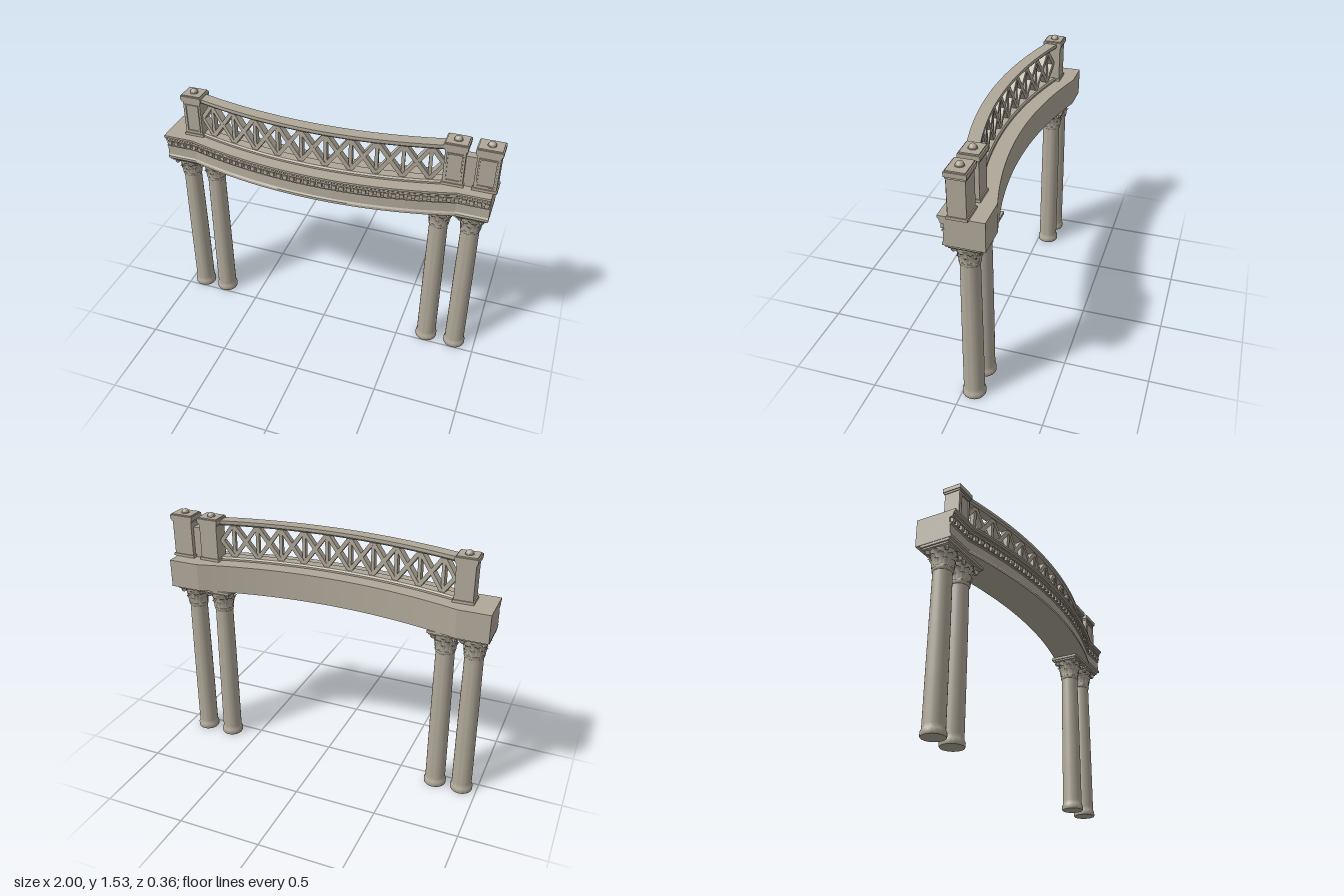
import * as THREE from 'three';
import { toCreasedNormals, mergeGeometries } from 'three/addons/utils/BufferGeometryUtils.js';

const stone = new THREE.MeshStandardMaterial({ color: 0xb0a899, side: THREE.DoubleSide });

// Plan curve: a shallow bow that runs straight at both ends
const XC = -0.015, HALF = 0.8, R = 2.78;
const along = (x) => THREE.MathUtils.clamp(x - XC, -HALF, HALF);
const bow = (x) => -(along(x) ** 2) / (2 * R);
const turn = (x) => (Math.abs(x - XC) > HALF ? 0 : Math.atan((x - XC) / R));

function add(parent, name, geometry, x = 0, y = 0, z = 0) {
  const mesh = new THREE.Mesh(geometry, stone);
  mesh.name = name;
  mesh.position.set(x, y, z);
  parent.add(mesh);
  return mesh;
}

const box = (w, h, d) => new THREE.BoxGeometry(w, h, d);

// Sweep a counter-clockwise [z, y] outline along the plan curve
function sweep(outline, xs) {
  const pos = [];
  const n = outline.length;
  const put = (i, x) => pos.push(x, outline[i % n][1], outline[i % n][0] + bow(x));
  for (let s = 0; s < xs.length - 1; s++) {
    const a = xs[s], b = xs[s + 1];
    for (let i = 0; i < n; i++) {
      put(i, a); put(i + 1, b); put(i + 1, a);
      put(i, a); put(i, b); put(i + 1, b);
    }
  }
  const faces = THREE.ShapeUtils.triangulateShape(outline.map((p) => new THREE.Vector2(...p)), []);
  for (const [i, j, k] of faces) {
    const a = xs[0], b = xs[xs.length - 1];
    put(i, a); put(j, a); put(k, a);
    put(i, b); put(k, b); put(j, b);
  }
  const g = new THREE.BufferGeometry();
  g.setAttribute('position', new THREE.Float32BufferAttribute(pos, 3));
  return toCreasedNormals(g, 0.2);
}

const steps = (a, b, n) => Array.from({ length: n + 1 }, (_, i) => a + ((b - a) * i) / n);

// Place a geometry on the plan curve, tilted in the plane of the railing
function onCurve(geometry, x, y, z, tilt = 0) {
  return geometry.rotateZ(tilt).rotateY(turn(x)).translate(x, y, z + bow(x));
}

// Curved leaf with a raised rib, scalloped edge and curling tip
function leaf(angle, y0, h, r0, r1, width) {
  const g = new THREE.PlaneGeometry(1, 1, 4, 8);
  const p = g.attributes.position;
  for (let i = 0; i < p.count; i++) {
    const u = p.getX(i), v = p.getY(i) + 0.5;
    const w = width * Math.sqrt(Math.max(0, 1 - v ** 3)) * (1 + 0.14 * Math.cos(v * 18)) + 0.003;
    const r = r0 + (r1 - r0) * v * v + 0.007 * (1 - Math.abs(2 * u));
    const y = y0 + h * (v * 1.2 - 0.3 * v ** 5);
    const t = angle + (u * w) / r;
    p.setXYZ(i, Math.sin(t) * r, y, Math.cos(t) * r);
  }
  g.computeVertexNormals();
  return g;
}

function createColumn(x) {
  const column = new THREE.Group();
  column.name = 'column';
  column.position.set(x, 0, -0.064);
  // Base moulding, tapering shaft and bell in one turned profile
  const profile = [
    [0, 0], [0.065, 0], [0.067, 0.004], [0.067, 0.026], [0.063, 0.034], [0.0605, 0.04], [0.06, 0.06],
    [0.059, 0.3], [0.057, 0.6], [0.054, 0.915], [0.058, 0.92], [0.06, 0.927], [0.058, 0.934],
    [0.053, 0.938], [0.055, 0.97], [0.06, 1.0], [0.072, 1.03], [0.074, 1.042], [0, 1.042],
  ].map((p) => new THREE.Vector2(...p));
  add(column, 'shaft', toCreasedNormals(new THREE.LatheGeometry(profile, 40), 0.6));
  // Two tiers of leaves and a third tier of slim stalks
  const leaves = [];
  for (let i = 0; i < 8; i++) {
    const a = (i * Math.PI) / 4;
    leaves.push(leaf(a, 0.936, 0.048, 0.055, 0.07, 0.04));
    leaves.push(leaf(a + Math.PI / 8, 0.945, 0.07, 0.055, 0.08, 0.044));
    leaves.push(leaf(a, 0.975, 0.06, 0.058, 0.085, 0.034));
  }
  add(column, 'capitalLeaves', mergeGeometries(leaves));
  // Corner scrolls
  for (let i = 0; i < 4; i++) {
    const a = Math.PI / 4 + (i * Math.PI) / 2;
    const scroll = new THREE.CylinderGeometry(0.014, 0.014, 0.016, 14).rotateX(Math.PI / 2);
    const m = add(column, 'scroll', scroll, Math.sin(a) * 0.088, 1.027, Math.cos(a) * 0.088);
    m.rotation.y = a + Math.PI / 2;
  }
  add(column, 'lowerAbacus', box(0.166, 0.012, 0.166), 0, 1.046, 0);
  add(column, 'abacus', box(0.183, 0.016, 0.183), 0, 1.058, 0);
  return column;
}

function createPost(x, w) {
  const post = new THREE.Group();
  post.name = 'post';
  post.position.set(x, 0, -0.048);
  const d = 0.098;
  add(post, 'body', box(w - 0.02, 0.23, d), 0, 1.35, 0);
  add(post, 'plinth', box(w - 0.006, 0.016, d + 0.012), 0, 1.243, 0);
  add(post, 'capNeck', box(w - 0.01, 0.012, d + 0.01), 0, 1.464, 0);
  add(post, 'cap', box(w, 0.026, 0.117), 0, 1.482, 0);
  add(post, 'capTop', box(w - 0.014, 0.008, 0.103), 0, 1.498, 0);
  add(post, 'knobCollar', new THREE.CylinderGeometry(0.025, 0.025, 0.006, 24), 0, 1.503, 0);
  add(post, 'knob', new THREE.SphereGeometry(0.022, 24, 12), 0, 1.504, 0);
  // Framed panel on the front
  const pw = w - 0.05, ph = 0.17;
  for (const s of [-1, 1]) {
    add(post, 'panelStile', box(0.008, ph, 0.008), (s * pw) / 2, 1.353, d / 2 + 0.002);
    add(post, 'panelRail', box(pw + 0.008, 0.008, 0.008), 0, 1.353 + (s * ph) / 2, d / 2 + 0.002);
  }
  return post;
}

function createBeam() {
  const beam = new THREE.Group();
  beam.name = 'beam';
  const outline = [
    [-0.07, 1.065], [0.157, 1.065], [0.157, 1.08], [0.15, 1.09], [0.148, 1.145], [0.155, 1.15],
    [0.155, 1.157], [0.143, 1.158], [0.143, 1.19], [0.163, 1.193], [0.163, 1.204], [0.168, 1.209],
    [0.168, 1.216], [0.178, 1.222], [0.178, 1.235], [-0.07, 1.235],
  ];
  add(beam, 'entablature', sweep(outline, [-1, ...steps(XC - HALF, XC + HALF, 40), 0.972]));
  const dentils = steps(-0.98, 0.953, 46).map((x) => onCurve(box(0.025, 0.026, 0.024), x, 1.174, 0.15));
  add(beam, 'dentils', mergeGeometries(dentils));
  return beam;
}

function createRailing() {
  const railing = new THREE.Group();
  railing.name = 'railing';
  const x0 = -0.765, x1 = 0.685, z = 0.06, xs = steps(x0, x1, 36);
  const bottom = [[z - 0.036, 1.235], [z + 0.036, 1.235], [z + 0.036, 1.246], [z + 0.028, 1.256],
    [z - 0.028, 1.256], [z - 0.036, 1.246]];
  const top = [[z - 0.026, 1.455], [z + 0.026, 1.455], [z + 0.036, 1.466], [z + 0.036, 1.486],
    [z - 0.036, 1.486], [z - 0.036, 1.466]];
  add(railing, 'bottomRail', sweep(bottom, xs));
  add(railing, 'topRail', sweep(top, xs));
  // Half-bays: two diagonals spread from each crossing to the next upright
  const n = 20, step = (x1 - x0) / n, rise = 0.1, mid = 1.356;
  const length = Math.hypot(step, rise) + 0.01, tilt = Math.atan2(rise, step);
  const diagonals = [], uprights = [];
  for (let i = 0; i < n; i++) {
    const x = x0 + (i + 0.5) * step, dir = i % 2 ? -1 : 1;
    for (const s of [-1, 1]) {
      diagonals.push(onCurve(box(length, 0.024, 0.04), x, mid + (s * rise) / 2, z, s * dir * tilt));
    }
    if (i % 2) uprights.push(onCurve(box(0.02, 0.21, 0.03), x0 + i * step, mid, z));
  }
  add(railing, 'diagonals', mergeGeometries(diagonals));
  add(railing, 'uprights', mergeGeometries(uprights));
  return railing;
}

export function createModel() {
  const model = new THREE.Group();
  model.name = 'colonnadeBalcony';
  for (const x of [-0.906, -0.74, 0.685, 0.87]) model.add(createColumn(x));
  model.add(createBeam(), createRailing());
  for (const [x, w] of [[-0.824, 0.128], [0.743, 0.134], [0.922, 0.146]]) model.add(createPost(x, w));
  // Short wall joining the paired posts
  add(model, 'linkWall', box(0.09, 0.19, 0.05), 0.832, 1.33, -0.046);
  return model;
}
